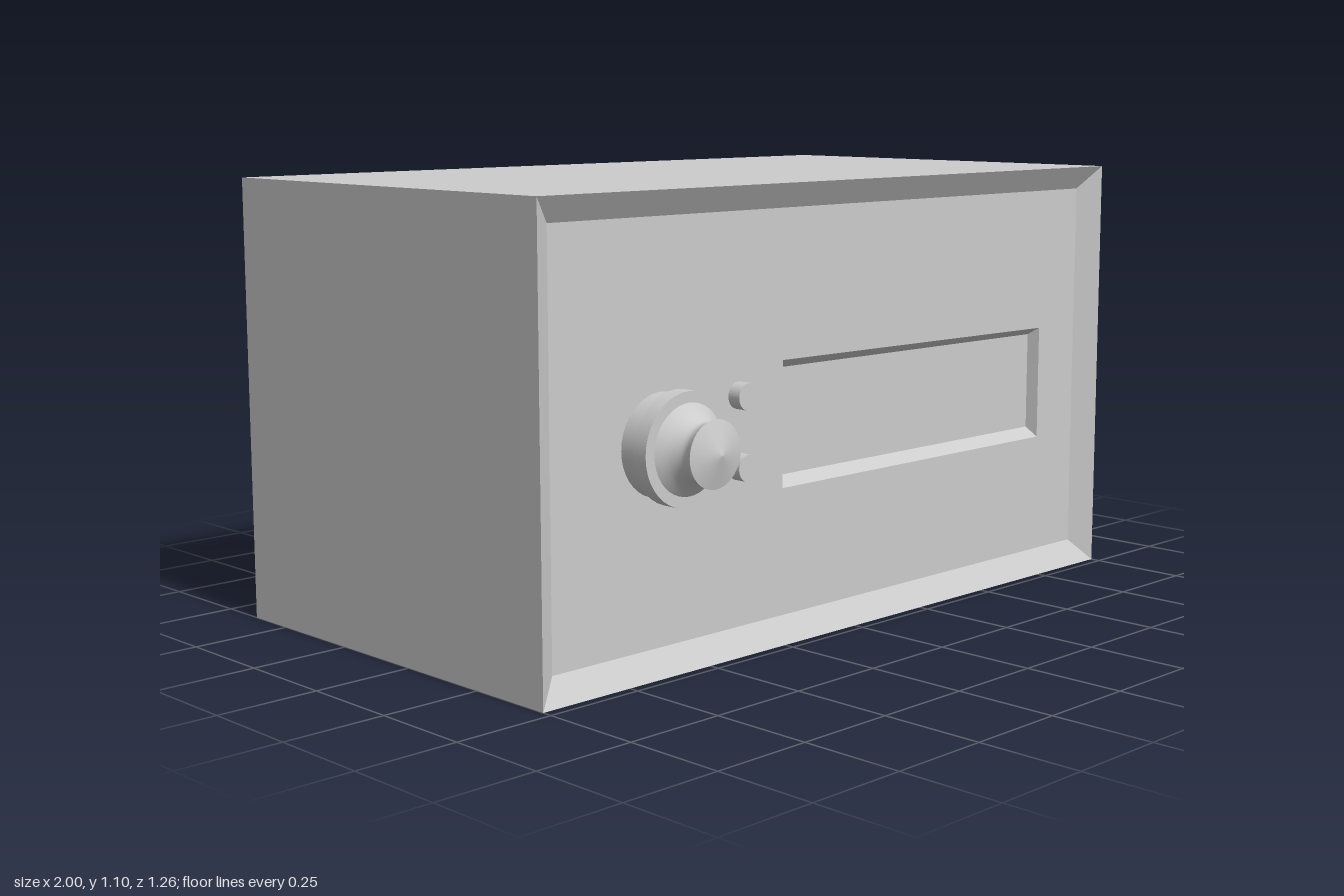
import * as THREE from 'three';

const grey = new THREE.MeshStandardMaterial({ color: 0xcccccc });
const flatGrey = new THREE.MeshStandardMaterial({ color: 0xcccccc, flatShading: true });
const PANEL_Z = 0.435;

// Four corners, counter-clockwise as seen from the front
const rect = (x0, x1, y0, y1, z, y1Right = y1) =>
  [[x0, y0, z], [x1, y0, z], [x1, y1Right, z], [x0, y1, z]];

// Faces that join each rectangle to the next one, with optional end caps
function loft(loops, capStart, capEnd) {
  const pos = [];
  const quad = (a, b, c, d) => pos.push(...a, ...b, ...c, ...a, ...c, ...d);
  for (let k = 0; k < loops.length - 1; k++) {
    const p = loops[k], q = loops[k + 1];
    for (let i = 0; i < 4; i++) {
      const j = (i + 1) % 4;
      quad(p[i], p[j], q[j], q[i]);
    }
  }
  if (capStart) quad(...[...loops[0]].reverse());
  if (capEnd) quad(...loops[loops.length - 1]);
  const g = new THREE.BufferGeometry();
  g.setAttribute('position', new THREE.Float32BufferAttribute(pos, 3));
  g.computeVertexNormals();
  return g;
}

// Turned shape about the z axis; each section of [radius, z] points is smooth
function turned(name, sections, x, y) {
  const group = new THREE.Group();
  group.name = name;
  for (const s of sections) {
    const g = new THREE.LatheGeometry(s.map(([r, z]) => new THREE.Vector2(r, z)), 40);
    g.rotateX(Math.PI / 2);
    const mesh = new THREE.Mesh(g, grey);
    mesh.name = name + 'Surface';
    group.add(mesh);
  }
  group.position.set(x, y, 0);
  return group;
}

export function createModel() {
  const model = new THREE.Group();
  model.name = 'safeBox';
  const add = (name, geometry) => {
    const mesh = new THREE.Mesh(geometry, flatGrey);
    mesh.name = name;
    model.add(mesh);
  };

  // Outer case with the bevelled rim leading in to the front panel
  const back = rect(-1, 1, 0, 1.095, -0.63);
  const front = rect(-1, 1, 0, 1.095, 0.475);
  const panel = rect(-0.94, 0.94, 0.06, 1.035, PANEL_Z);
  add('case', loft([back, front, panel], true, false));

  // Front panel around the opening, and the sunken display
  const opening = rect(-0.22, 0.785, 0.37, 0.677, PANEL_Z, 0.667);
  const display = rect(-0.203, 0.775, 0.395, 0.655, PANEL_Z - 0.03, 0.648);
  add('frontPanel', loft([panel, opening], false, false));
  add('displayRecess', loft([opening, display], false, true));

  // Dial: bevelled disc, curved neck and shallow pointed cap
  const neck = new THREE.SplineCurve([
    [0.105, 0.525], [0.083, 0.545], [0.069, 0.568], [0.068, 0.585], [0.078, 0.607],
  ].map(([r, z]) => new THREE.Vector2(r, z))).getPoints(14).map((p) => [p.x, p.y]);
  model.add(turned('dial', [
    [[0.12, PANEL_Z], [0.12, 0.475]],
    [[0.12, 0.475], [0.131, 0.485]],
    [[0.131, 0.485], [0.131, 0.525]],
    [[0.131, 0.525], [0.105, 0.525]],
    neck,
    [[0.078, 0.607], [0, 0.63]],
  ], -0.615, 0.525));

  // Two small round buttons
  for (const y of [0.61, 0.443]) {
    model.add(turned('button', [
      [[0.032, PANEL_Z], [0.032, 0.47]],
      [[0.032, 0.47], [0, 0.47]],
    ], -0.37, y));
  }
  return model;
}
